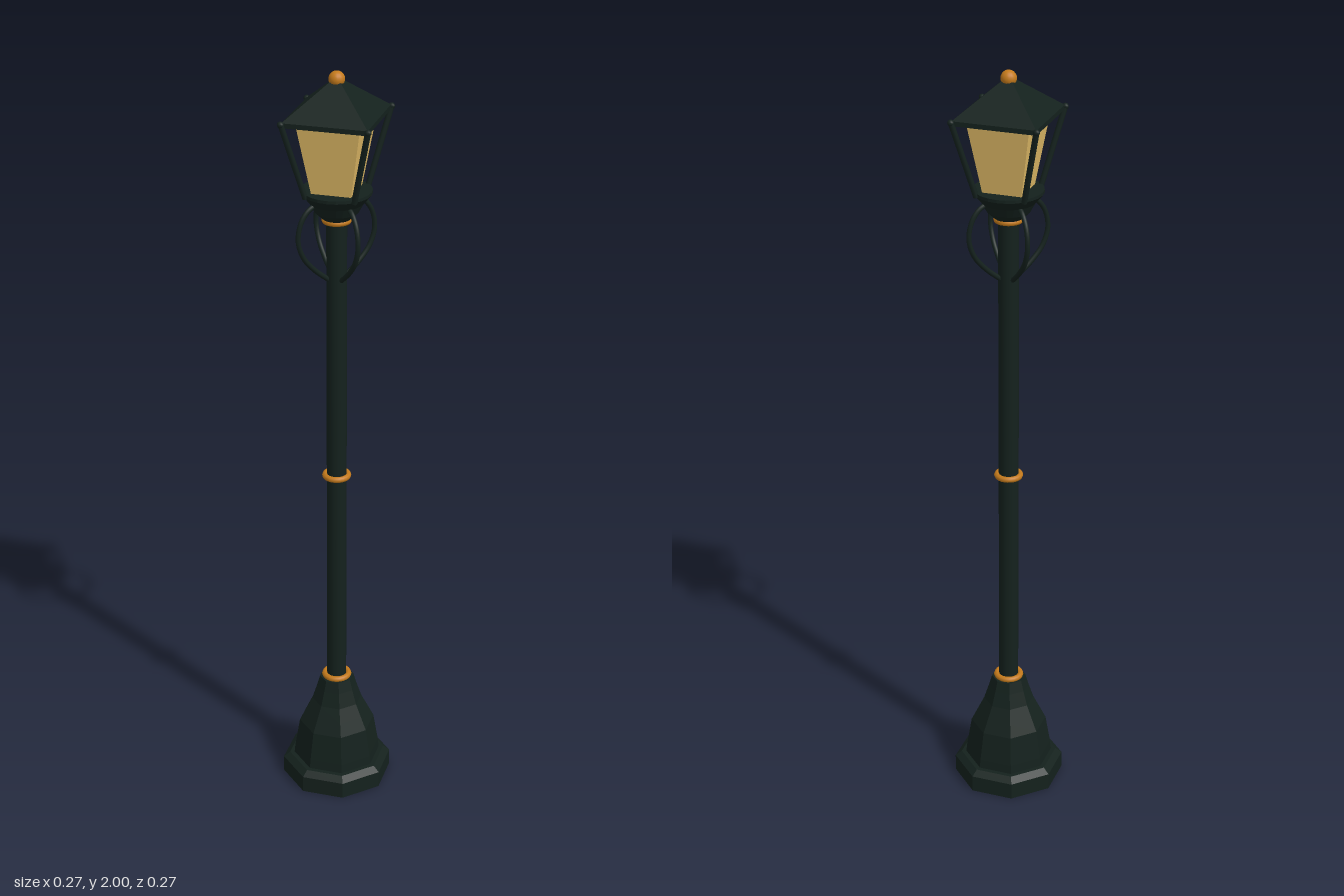
import * as THREE from 'three';

export function createModel() {
  const model = new THREE.Group();
  const iron = new THREE.MeshStandardMaterial({ color: 0x14211d, flatShading: true });
  const ironSmooth = new THREE.MeshStandardMaterial({ color: 0x14211d });
  const brass = new THREE.MeshStandardMaterial({ color: 0xc47a1c });
  const glass = new THREE.MeshStandardMaterial({ color: 0xe3bd68, flatShading: true });

  const add = (name, geometry, material, y = 0, parent = model) => {
    const mesh = new THREE.Mesh(geometry, material);
    mesh.name = name;
    mesh.position.y = y;
    parent.add(mesh);
    return mesh;
  };
  const points = (list) => list.map(([x, y]) => new THREE.Vector2(x, y));

  // Octagonal solid: profile widths are measured to the flats
  const octagon = (list) => new THREE.LatheGeometry(
    points(list.map(([a, y]) => [a / Math.cos(Math.PI / 8), y])), 8, Math.PI / 8);

  // Square frustum with sides facing the axes
  const square = (top, bottom, height) => new THREE.CylinderGeometry(
    top * Math.SQRT2, bottom * Math.SQRT2, height, 4).rotateY(Math.PI / 4);

  // Stepped plinth and flared foot
  add('plinth', octagon([[0, 0], [0.136, 0], [0.136, 0.046], [0.12, 0.06], [0, 0.06]]), iron);
  add('foot', octagon([[0.109, 0.055], [0.106, 0.085], [0.094, 0.165], [0.078, 0.2],
    [0.062, 0.235], [0.05, 0.275], [0.042, 0.305], [0, 0.305]]), iron);

  // Pole and its brass rings
  add('pole', new THREE.CylinderGeometry(0.026, 0.026, 1.36, 16), ironSmooth, 0.97);
  for (const [y, r] of [[0.31, 0.032], [0.92, 0.03], [1.625, 0.03]]) {
    add('brassRing', new THREE.TorusGeometry(r, 0.008, 8, 24).rotateX(Math.PI / 2), brass, y);
  }

  // Lantern: bowl, glass, roof and finial
  add('bowl', new THREE.LatheGeometry(points([[0, 1.628], [0.034, 1.628], [0.055, 1.648],
    [0.068, 1.672], [0.088, 1.696], [0.088, 1.704], [0, 1.704]]), 24), iron);
  add('glassPanes', square(0.08, 0.05, 0.185), glass, 1.794);
  add('eave', square(0.106, 0.106, 0.012), iron, 1.888);
  add('roof', square(0.012, 0.106, 0.082), iron, 1.935);
  add('finial', new THREE.SphereGeometry(0.02, 16, 12), brass, 1.98);

  // Corner bars and curved brackets, repeated on the four diagonals
  const bar = new THREE.TubeGeometry(new THREE.LineCurve3(
    new THREE.Vector3(0.087, 1.695, 0), new THREE.Vector3(0.152, 1.892, 0)), 1, 0.0075, 8);
  const bend = new THREE.CatmullRomCurve3([[0.024, 1.472], [0.06, 1.502], [0.092, 1.54],
    [0.107, 1.585], [0.1, 1.63], [0.08, 1.66], [0.055, 1.675]]
    .map(([x, y]) => new THREE.Vector3(x, y, 0)));
  const bracket = new THREE.TubeGeometry(bend, 28, 0.0065, 8);
  for (let i = 0; i < 4; i++) {
    const corner = new THREE.Group();
    corner.name = 'lanternCorner';
    corner.rotation.y = Math.PI / 4 + i * Math.PI / 2;
    add('cornerBar', bar, ironSmooth, 0, corner);
    add('barTip', new THREE.SphereGeometry(0.0085, 8, 6).translate(0.152, 1.89, 0), ironSmooth, 0, corner);
    add('curvedBracket', bracket, ironSmooth, 0, corner);
    model.add(corner);
  }
  return model;
}
